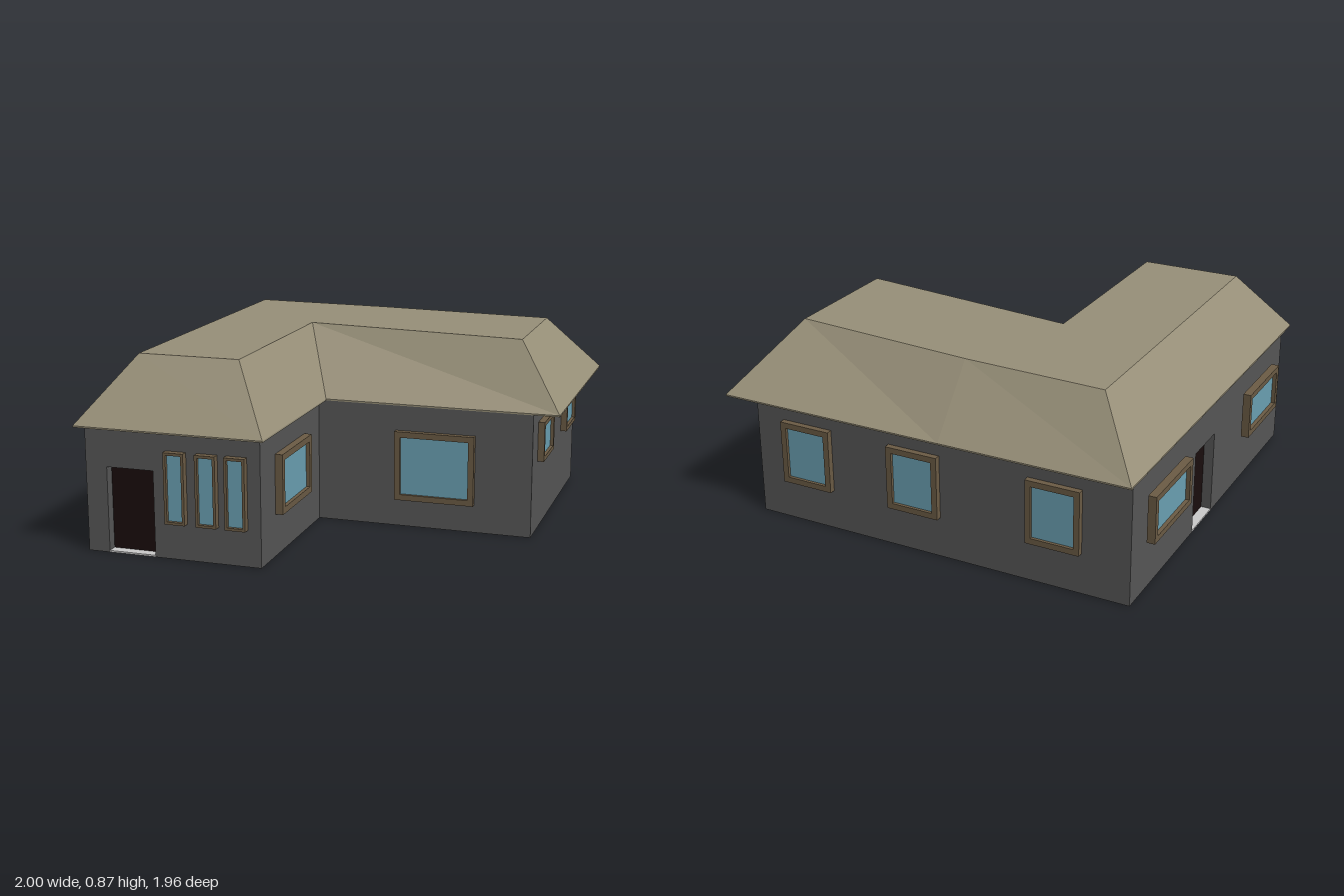
import * as THREE from 'three';

const mat = (color, extra = {}) => new THREE.MeshStandardMaterial({ color, ...extra });
const wallMat = mat(0x575757);
const roofMat = mat(0x989079, { flatShading: true });
const frameMat = mat(0x6c5c45);
const glassMat = mat(0x6ca2b4);
const doorMat = mat(0x1a0d0d);
const sillMat = mat(0xcccccc);

const WALL_TOP = 0.575, DOOR_TOP = 0.39, RECESS = 0.055;

function add(parent, name, geometry, material) {
  const mesh = new THREE.Mesh(geometry, material);
  mesh.name = name;
  parent.add(mesh);
  return mesh;
}

// Plan outline given as [x, z] pairs, raised from y0 to y1
function prism(plan, y0, y1) {
  const shape = new THREE.Shape(plan.map(([x, z]) => new THREE.Vector2(x, -z)));
  return new THREE.ExtrudeGeometry(shape, { depth: y1 - y0, bevelEnabled: false })
    .rotateX(-Math.PI / 2).translate(0, y0, 0);
}

// Flat horizontal plate facing up or down
function plate(plan, y, up) {
  const s = up ? -1 : 1;
  const shape = new THREE.Shape(plan.map(([x, z]) => new THREE.Vector2(x, s * z)));
  return new THREE.ShapeGeometry(shape).rotateX(s * Math.PI / 2).translate(0, y, 0);
}

// Band of quads joining closed plan loops of equal length
function band(low, y0, high, y1) {
  const pos = [];
  low.forEach((a, i) => {
    const j = (i + 1) % low.length;
    const p = [a[0], y0, a[1]], q = [low[j][0], y0, low[j][1]];
    const P = [high[i][0], y1, high[i][1]], Q = [high[j][0], y1, high[j][1]];
    pos.push(...p, ...P, ...Q, ...p, ...Q, ...q);
  });
  const g = new THREE.BufferGeometry();
  g.setAttribute('position', new THREE.Float32BufferAttribute(pos, 3));
  g.computeVertexNormals();
  return g;
}

function rect(target, w, h) {
  target.moveTo(-w / 2, -h / 2);
  target.lineTo(w / 2, -h / 2);
  target.lineTo(w / 2, h / 2);
  target.lineTo(-w / 2, h / 2);
  target.closePath();
  return target;
}

// Projecting frame with a recessed pane; local +z points out of the wall
function makeWindow(name, w, h, depth, border) {
  const group = new THREE.Group();
  group.name = name;
  const shape = rect(new THREE.Shape(), w, h);
  shape.holes.push(rect(new THREE.Path(), w - 2 * border, h - 2 * border));
  add(group, 'windowFrame', new THREE.ExtrudeGeometry(shape, { depth, bevelEnabled: false }), frameMat);
  add(group, 'windowPane', new THREE.BoxGeometry(w - 2 * border, h - 2 * border, depth * 0.4), glassMat)
    .position.z = depth * 0.3;
  return group;
}

export function createModel() {
  const house = new THREE.Group();
  house.name = 'house';

  // L-shaped walls, with two door recesses cut in the lower part
  const plan = [[-0.945, -0.915], [0.88, -0.915], [0.88, 0.157], [-0.13, 0.157], [-0.13, 0.915], [-0.945, 0.915]];
  const zIn = 0.915 - RECESS, xIn = -0.945 + RECESS;
  const notched = [
    ...plan.slice(0, 5),
    [-0.625, 0.915], [-0.625, zIn], [-0.845, zIn], [-0.845, 0.915],
    plan[5],
    [-0.945, 0.01], [xIn, 0.01], [xIn, -0.22], [-0.945, -0.22],
  ];
  add(house, 'lowerWalls', prism(notched, 0, DOOR_TOP), wallMat);
  add(house, 'upperWalls', prism(plan, DOOR_TOP, WALL_TOP), wallMat);

  // Doors and their sills
  const doors = [
    { name: 'front', x: -0.735, z: 0.915, w: 0.22, turn: 0 },
    { name: 'side', x: -0.945, z: -0.105, w: 0.23, turn: -Math.PI / 2 },
  ];
  for (const d of doors) {
    const group = new THREE.Group();
    group.name = d.name + 'Door';
    add(group, 'doorPanel', new THREE.BoxGeometry(d.w, DOOR_TOP, 0.01), doorMat)
      .position.set(0, DOOR_TOP / 2, -RECESS + 0.004);
    add(group, 'doorSill', new THREE.BoxGeometry(d.w, 0.008, RECESS), sillMat)
      .position.set(0, 0.004, -RECESS / 2);
    group.position.set(d.x, 0, d.z);
    group.rotation.y = d.turn;
    house.add(group);
  }

  // Hipped roof with a flat L-shaped top
  const eave = [[-0.967, -0.983], [-0.09, -0.983], [0.998, -0.983], [0.998, 0.163],
    [-0.093, 0.163], [-0.093, 0.98], [-0.967, 0.98]];
  const top = [[-0.747, -0.763], [-0.09, -0.737], [0.777, -0.66], [0.777, -0.06],
    [-0.28, -0.187], [-0.28, 0.76], [-0.747, 0.76]];
  const roof = new THREE.Group();
  roof.name = 'roof';
  add(roof, 'roofSlopes', band(eave, 0.58, top, 0.87), roofMat);
  add(roof, 'roofTop', plate(top, 0.87, true), roofMat);
  add(roof, 'eaveEdge', band(eave, 0.573, eave, 0.58), roofMat);
  add(roof, 'soffit', plate(eave, 0.573, false), roofMat);
  house.add(roof);

  // Windows: name, wall turn, wall offset, centres along the wall, centre height, width, height, depth, border
  const q = Math.PI / 2;
  const rows = [
    ['frontNarrowWindow', 0, 0.915, [-0.516, -0.371, -0.237], 0.325, 0.094, 0.32, 0.032, 0.012],
    ['courtyardWindow', 0, 0.157, [0.43], 0.293, 0.374, 0.325, 0.028, 0.027],
    ['courtyardSideWindow', q, -0.13, [0.55], 0.325, 0.38, 0.27, 0.035, 0.029],
    ['rightWindow', q, 0.88, [-0.09, -0.685], 0.42, 0.25, 0.185, 0.03, 0.02],
    ['backWindow', 2 * q, -0.915, [0.615, 0.07, -0.6], 0.337, 0.25, 0.295, 0.028, 0.027],
    ['leftWindow', -q, -0.963, [-0.597, 0.53], 0.353, 0.402, 0.217, 0.037, 0.027],
  ];
  for (const [name, turn, offset, centres, y, w, h, depth, border] of rows) {
    for (const c of centres) {
      const win = makeWindow(name, w, h, depth, border);
      win.rotation.y = turn;
      if (Math.abs(turn) === q) win.position.set(offset, y, c);
      else win.position.set(c, y, offset);
      house.add(win);
    }
  }
  return house;
}
